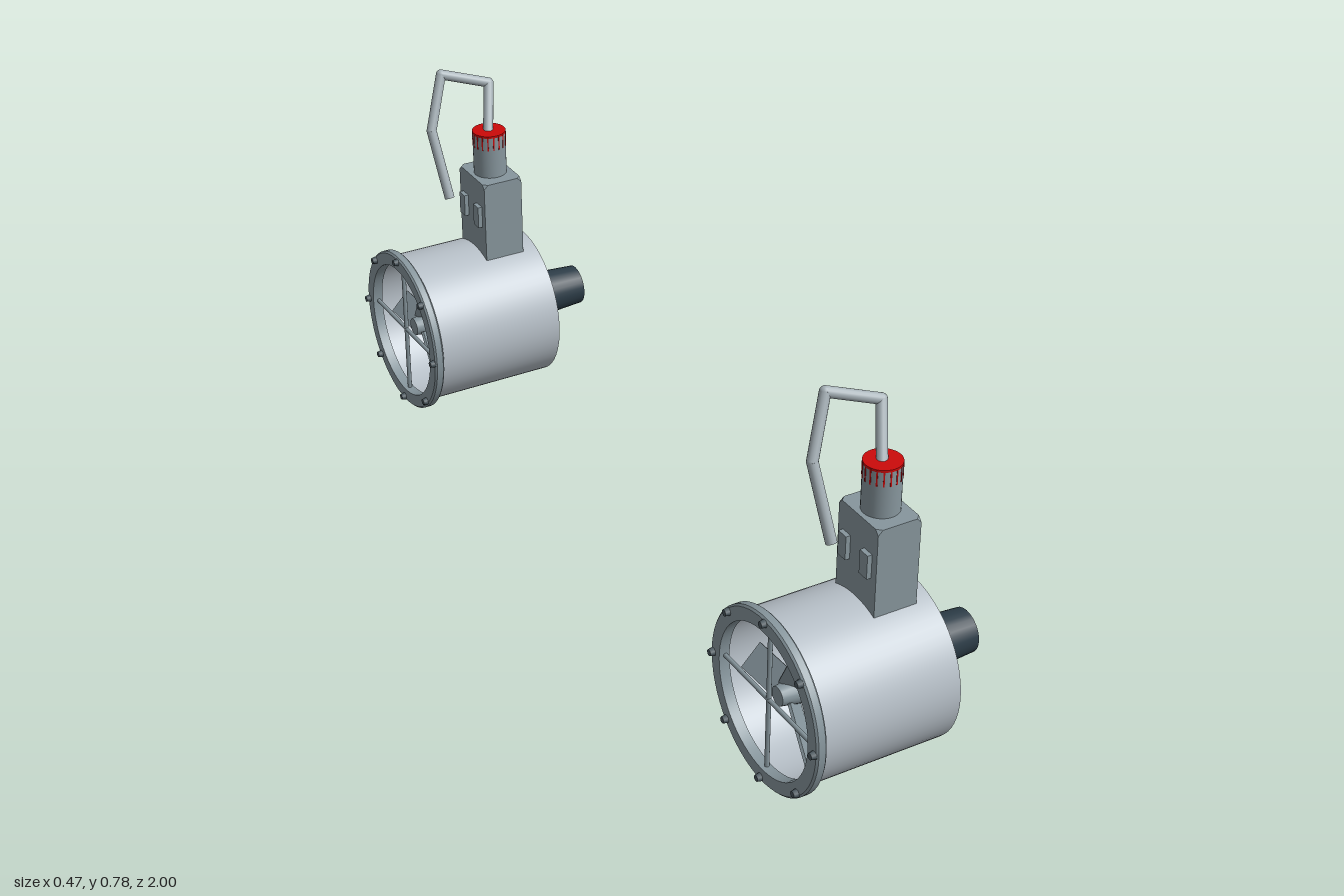
import * as THREE from 'three';
import { toCreasedNormals } from 'three/addons/utils/BufferGeometryUtils.js';
import { ConvexGeometry } from 'three/addons/geometries/ConvexGeometry.js';

const mat = (name, color) => {
  const m = new THREE.MeshStandardMaterial({ color });
  m.name = name;
  return m;
};

export function createModel() {
  const shell = mat('light grey', 0xb8c1c9);
  const steel = mat('blue grey', 0x87969d);
  const hose = mat('cable grey', 0xa6b1b7);
  const dark = mat('dark slate', 0x2c3c47);
  const bolt = mat('bolt grey', 0x4a575e);
  const red = mat('red', 0xcc0a0a);

  const AXIS = 0.19; // height of the duct axis

  const add = (parent, name, geometry, material, x = 0, y = 0, z = 0) => {
    const mesh = new THREE.Mesh(geometry, material);
    mesh.name = name;
    mesh.position.set(x, y, z);
    parent.add(mesh);
    return mesh;
  };

  // Closed ring swept about the x axis; profile pairs are [radius, x]
  const ringX = (pairs) => {
    const pts = [...pairs, pairs[0]].map(([r, x]) => new THREE.Vector2(r, x));
    return toCreasedNormals(new THREE.LatheGeometry(pts, 64).rotateZ(-Math.PI / 2), 0.6);
  };

  // Cylinder along x from x0 to x1
  const cylX = (r0, r1, x0, x1, sides = 24) =>
    new THREE.CylinderGeometry(r1, r0, x1 - x0, sides)
      .rotateZ(-Math.PI / 2).translate((x0 + x1) / 2, 0, 0);

  // Block whose four top corners are cut off
  const cutBlock = (x, y0, y1, z, c) => {
    const pts = [];
    for (const sx of [-1, 1]) for (const sz of [-1, 1]) {
      pts.push(new THREE.Vector3(sx * x, y0, sz * z));
      pts.push(new THREE.Vector3(sx * (x - c), y1, sz * z));
      pts.push(new THREE.Vector3(sx * x, y1, sz * (z - c)));
      pts.push(new THREE.Vector3(sx * x, y1 - c, sz * z));
    }
    return new ConvexGeometry(pts);
  };

  function thruster(name, z) {
    const unit = new THREE.Group();
    unit.name = name;
    unit.position.z = z;

    const duct = new THREE.Group();
    duct.name = 'ductAssembly';
    duct.position.y = AXIS;
    unit.add(duct);

    // Open duct and its flange
    add(duct, 'ductShell', ringX([[0.167, -0.21], [0.175, -0.21], [0.175, 0.1], [0.167, 0.1]]), shell);
    add(duct, 'flangeRing', ringX([
      [0.158, -0.228], [0.186, -0.228], [0.19, -0.224], [0.19, -0.209], [0.186, -0.205], [0.158, -0.205],
    ]), steel);

    // Flange bolts
    for (let i = 0; i < 8; i++) {
      const a = (i * Math.PI) / 4;
      add(duct, 'flangeBolt', cylX(0.007, 0.009, -0.238, -0.227, 10), bolt,
        0, Math.sin(a) * 0.18, Math.cos(a) * 0.18);
    }

    // Crossed guard bars
    for (const turn of [0, Math.PI / 2]) {
      const bar = add(duct, 'guardBar', new THREE.CylinderGeometry(0.005, 0.005, 0.325, 10), steel, -0.214);
      bar.rotation.x = turn;
    }

    // Tapered motor, shaft and hub
    add(duct, 'motor', cylX(0.064, 0.046, -0.035, 0.235, 24), dark);
    add(duct, 'shaft', cylX(0.014, 0.014, -0.14, -0.03, 16), steel);
    add(duct, 'propellerHub', cylX(0.02, 0.03, -0.195, -0.135, 20), steel);

    // Three pitched blades
    for (let i = 0; i < 3; i++) {
      const arm = new THREE.Group();
      arm.name = 'bladeArm';
      const a = THREE.MathUtils.degToRad(-3 + i * 120);
      arm.rotation.x = Math.atan2(-Math.cos(a), Math.sin(a));
      arm.position.x = -0.165;
      duct.add(arm);
      const blade = add(arm, 'blade', new THREE.BoxGeometry(0.006, 0.125, 0.06), steel, 0, 0.08, 0);
      blade.rotation.y = Math.PI / 4;
    }

    // Control box with two small plates on its side
    add(unit, 'controlBox', cutBlock(0.0475, 0.305, 0.545, 0.065, 0.01), steel, 0.0175);
    for (const s of [-1, 1])
      add(unit, 'sidePlate', new THREE.BoxGeometry(0.011, 0.052, 0.026), steel, -0.0345, 0.459, s * 0.036);

    // Connector with red cap and tick marks
    add(unit, 'connector', new THREE.CylinderGeometry(0.038, 0.038, 0.105, 32), steel, 0.018, 0.595);
    add(unit, 'redCap', new THREE.CylinderGeometry(0.0385, 0.0385, 0.005, 32), red, 0.018, 0.6475);
    for (let i = 0; i < 18; i++) {
      const a = ((i + 0.5) / 18) * Math.PI * 2;
      const tick = add(unit, 'redTick', new THREE.BoxGeometry(0.003, 0.034, 0.002), red,
        0.018 + Math.sin(a) * 0.0378, 0.631, Math.cos(a) * 0.0378);
      tick.rotation.y = a;
    }

    // Bent cable made of straight lengths
    const path = [
      [0.016, 0.64, 0], [0.05, 0.738, -0.06], [-0.057, 0.771, -0.086],
      [-0.103, 0.655, -0.05], [-0.088, 0.502, 0],
    ].map((p) => new THREE.Vector3(...p));
    for (let i = 0; i < path.length - 1; i++) {
      const d = path[i + 1].clone().sub(path[i]);
      const mid = path[i].clone().addScaledVector(d, 0.5);
      const seg = add(unit, 'cableLength', new THREE.CylinderGeometry(0.0115, 0.0115, d.length(), 16),
        hose, mid.x, mid.y, mid.z);
      seg.quaternion.setFromUnitVectors(new THREE.Vector3(0, 1, 0), d.normalize());
      if (i > 0)
        add(unit, 'cableBend', new THREE.SphereGeometry(0.0115, 16, 10), hose, path[i].x, path[i].y, path[i].z);
    }
    return unit;
  }

  const model = new THREE.Group();
  model.name = 'thrusterPair';
  model.add(thruster('frontThruster', 0.81), thruster('rearThruster', -0.81));
  return model;
}
